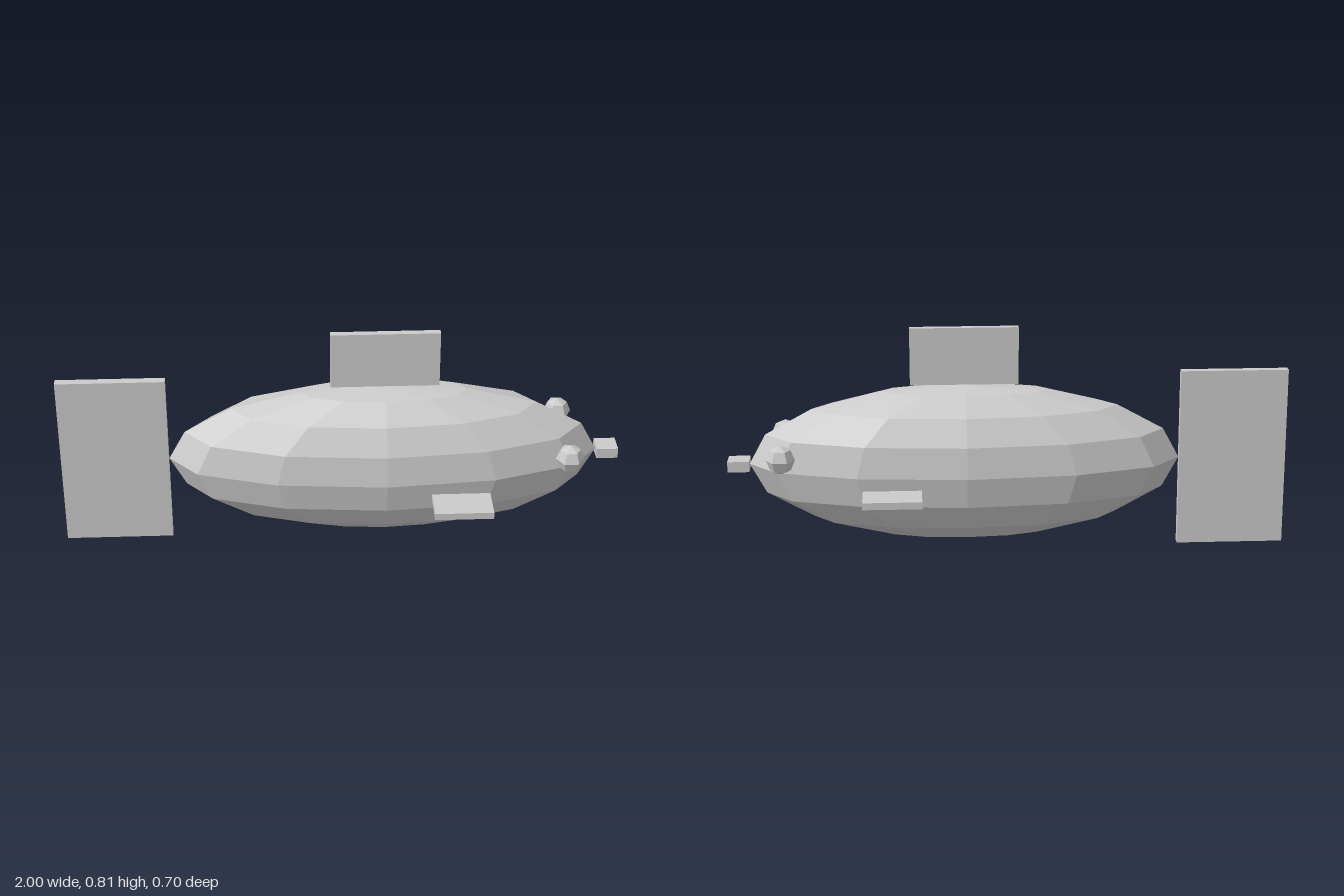
import * as THREE from 'three';

const material = new THREE.MeshStandardMaterial({ color: 0xcccccc, flatShading: true });

export function createModel() {
  const model = new THREE.Group();
  model.name = 'fish';

  const add = (name, geometry, x, y, z) => {
    const mesh = new THREE.Mesh(geometry, material);
    mesh.name = name;
    mesh.position.set(x, y, z);
    model.add(mesh);
  };
  const box = (w, h, d) => new THREE.BoxGeometry(w, h, d);

  // Faceted ellipsoid body, nose towards +x
  add('body', new THREE.SphereGeometry(1, 12, 8).scale(0.769, 0.283, 0.231), 0.155, 0.324, 0);

  // Slab fins and mouth along the centre line
  add('tailFin', box(0.385, 0.646, 0.031), -0.8075, 0.323, 0);
  add('dorsalFin', box(0.385, 0.206, 0.025), 0.157, 0.711, 0);
  add('mouth', box(0.077, 0.038, 0.077), 0.9615, 0.324, 0);

  // Mirrored eyes and side fins
  for (const [side, s] of [['front', 1], ['back', -1]]) {
    add(side + 'Eye', new THREE.SphereGeometry(0.051, 6, 4), 0.803, 0.388, s * 0.168);
    add(side + 'SideFin', box(0.205, 0.025, 0.126), 0.416, 0.273, s * 0.285);
  }
  return model;
}
